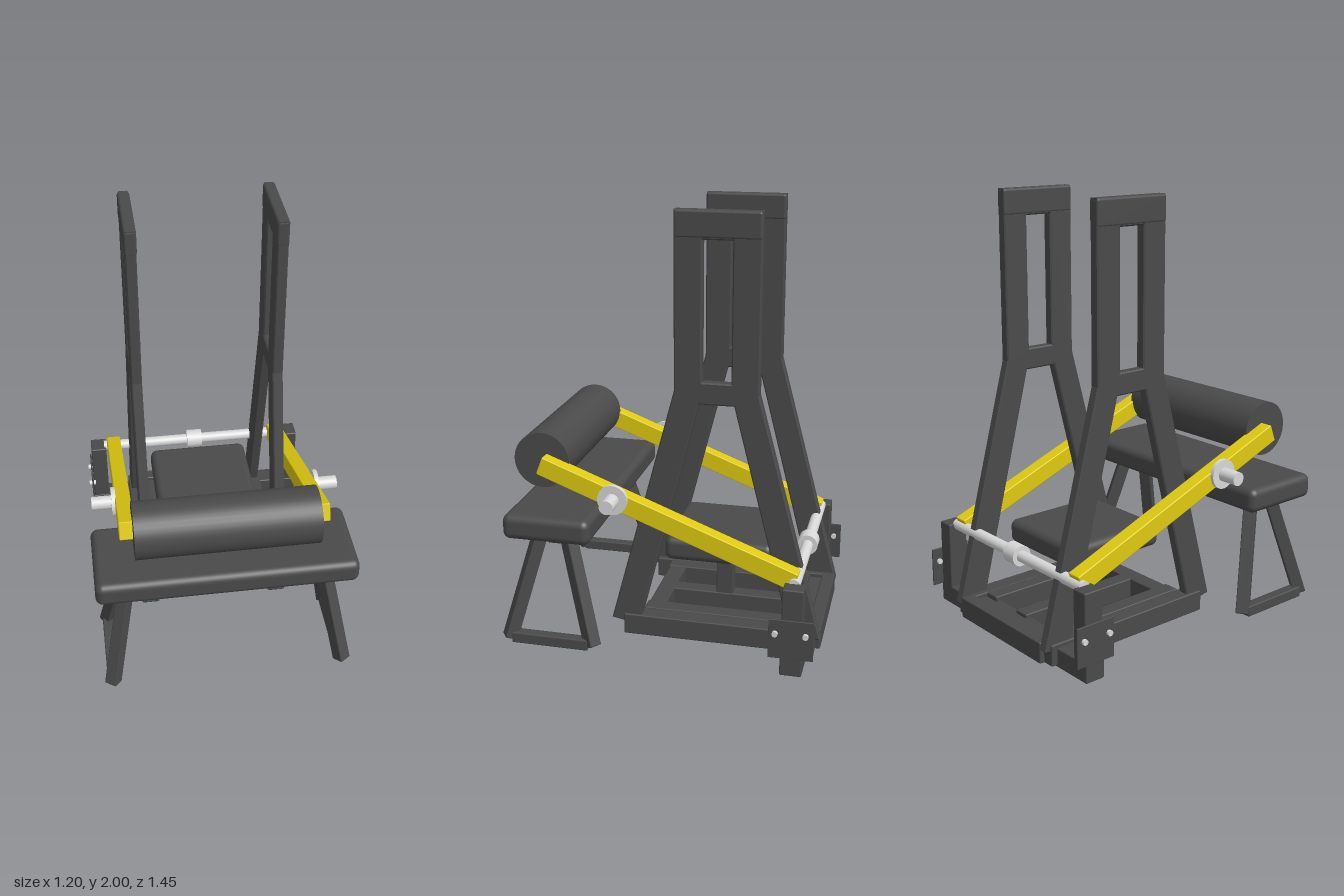
import * as THREE from 'three';
import { RoundedBoxGeometry } from 'three/addons/geometries/RoundedBoxGeometry.js';

const mat = (name, color) => {
  const m = new THREE.MeshStandardMaterial({ color });
  m.name = name;
  return m;
};

export function createModel() {
  const dark = mat('charcoal', 0x4a4a4a);
  const yellow = mat('yellow', 0xdfca10);
  const steel = mat('steel', 0xd8d8d8);
  const model = new THREE.Group();
  model.name = 'squatMachine';

  const add = (name, geo, m, x = 0, y = 0, z = 0) => {
    const mesh = new THREE.Mesh(geo, m);
    mesh.name = name;
    mesh.position.set(x, y, z);
    model.add(mesh);
    return mesh;
  };
  // box given by its extents along each axis
  const block = (name, [x0, x1], [y0, y1], [z0, z1], m = dark, r = 0.006, seg = 1) =>
    add(name, new RoundedBoxGeometry(x1 - x0, y1 - y0, z1 - z0, seg, r), m,
      (x0 + x1) / 2, (y0 + y1) / 2, (z0 + z1) / 2);
  // square bar between two points
  const bar = (name, a, b, w, h, m) => {
    const p = new THREE.Vector3(...a), q = new THREE.Vector3(...b);
    const mesh = add(name, new RoundedBoxGeometry(w, h, p.distanceTo(q), 1, 0.005), m);
    mesh.position.copy(p).add(q).multiplyScalar(0.5);
    mesh.lookAt(q);
    return mesh;
  };
  // round rod along x
  const rod = (name, x0, x1, y, z, r, m) => {
    const geo = new THREE.CylinderGeometry(r, r, Math.abs(x1 - x0), 40);
    geo.rotateZ(Math.PI / 2);
    return add(name, geo, m, (x0 + x1) / 2, y, z);
  };

  // tower plate: slotted head on two splayed legs, drawn in (z, y)
  const c = -0.235;
  const tower = new THREE.Shape([
    [0.19, 2], [-0.19, 2], [-0.19, 1.21], [-0.49, 0.08], [-0.36, 0.055],
    [-0.08, 1.155], [0.08, 1.155], [0.36, 0.055], [0.49, 0.08], [0.19, 1.21],
  ].map(([z, y]) => new THREE.Vector2(c + z, y)));
  tower.holes.push(new THREE.Path([[-0.066, 1.255], [0.066, 1.255], [0.066, 1.875], [-0.066, 1.875]]
    .map(([z, y]) => new THREE.Vector2(c + z, y))));
  const towerGeo = new THREE.ExtrudeGeometry(tower, {
    depth: 0.038, bevelThickness: 0.006, bevelSize: 0.006, bevelOffset: -0.006, bevelSegments: 1,
  });
  towerGeo.translate(0, 0, -0.019);
  towerGeo.rotateY(-Math.PI / 2);

  for (const s of [-1, 1]) {
    const side = s > 0 ? 'left' : 'right';
    const span = (a, b) => (s > 0 ? [a, b] : [-b, -a]);

    add(side + 'Tower', towerGeo, dark, s * 0.33);
    block(side + 'TowerCap', span(0.302, 0.358), [1.88, 2], [-0.426, -0.044], dark, 0.012, 2);

    // floor rails
    block(side + 'OuterRail', span(0.28, 0.366), [0.01, 0.11], [-0.7, 0.195]);
    block(side + 'InnerRail', span(0.2, 0.28), [0.005, 0.113], [-0.6, 0.118]);

    // pivot post with bolted plate
    block(side + 'PivotPost', span(0.48, 0.56), [0.02, 0.41], [-0.67, -0.575]);
    block(side + 'BoltPlate', span(0.561, 0.57), [0.085, 0.27], [-0.72, -0.52], dark, 0.002);
    for (const z of [-0.55, -0.685]) rod(side + 'Bolt', s * 0.55, s * 0.584, 0.205, z, 0.013, steel);

    // swinging arm with weight peg
    bar(side + 'Arm', [s * 0.438, 0.405, -0.62], [s * 0.438, 0.854, 0.55], 0.072, 0.086, yellow);
    rod(side + 'PegFlange', s * 0.47, s * 0.49, 0.725, 0.205, 0.069, steel);
    rod(side + 'WeightPeg', s * 0.48, s * 0.583, 0.725, 0.205, 0.032, steel);

    // bench legs, splayed outward
    for (const d of [-1, 1])
      bar(side + 'BenchLeg', [s * 0.55, 0.027, 0.492 + d * 0.2], [s * 0.453, 0.55, 0.492 + d * 0.06],
        0.06, 0.06, dark);
    block(side + 'BenchFoot', span(0.522, 0.575), [0.01, 0.062], [0.31, 0.675]);
  }

  // cross members of the floor frame
  block('frontCrossBar', [-0.28, 0.28], [0.01, 0.108], [0.03, 0.113]);
  block('rearCrossBar', [-0.31, 0.31], [0.01, 0.11], [-0.723, -0.66]);
  block('rearBeam', [-0.566, 0.566], [0, 0.09], [-0.67, -0.572]);
  block('centreRail', [-0.04, 0.04], [0.01, 0.108], [-0.6, 0.05]);

  // pivot shaft
  rod('pivotShaft', -0.49, 0.49, 0.402, -0.617, 0.027, steel);
  rod('shaftCollar', -0.04, 0.04, 0.402, -0.617, 0.048, steel);

  // seat
  block('seatPost', [-0.036, 0.036], [0.1, 0.38], [-0.262, -0.18]);
  block('seat', [-0.25, 0.25], [0.35, 0.465], [-0.484, 0.03], dark, 0.035, 5);

  // bench and padded roller
  block('bench', [-0.6, 0.6], [0.535, 0.652], [0.285, 0.692], dark, 0.035, 5);
  block('benchCrossBar', [-0.44, 0.44], [0.468, 0.54], [0.457, 0.53]);
  rod('rollerPad', -0.413, 0.413, 0.86, 0.557, 0.13, dark);

  return model;
}
